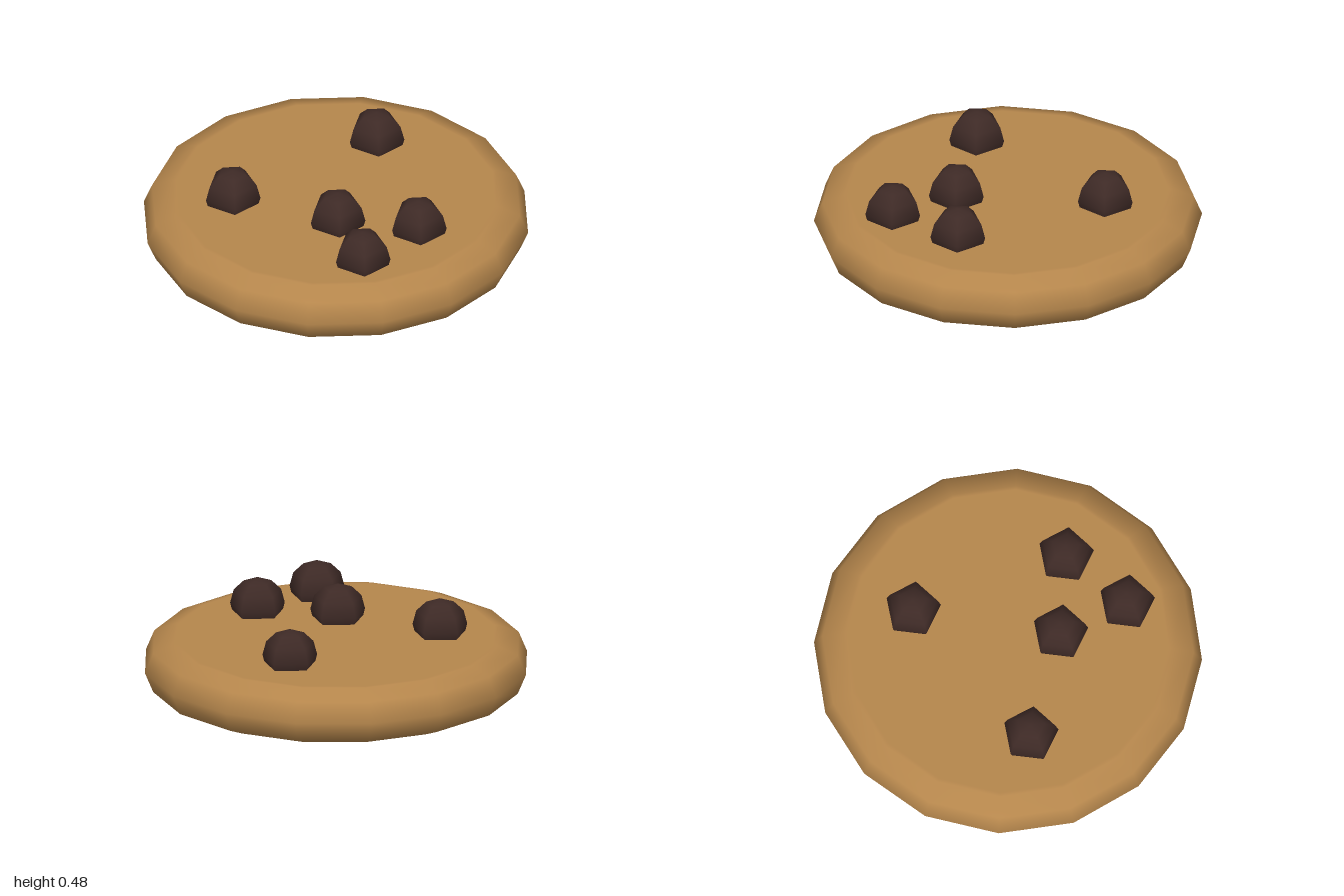
import * as THREE from 'three';

const TUBE = 0.148;          // half the thickness, also the chip radius
const CORE = 1 - TUBE;       // radius of the flat top and bottom

export function createModel() {
  const model = new THREE.Group();
  const doughMaterial = new THREE.MeshStandardMaterial({ color: 0xb5864c });
  const chipMaterial = new THREE.MeshStandardMaterial({ color: 0x3e2a26 });

  // Dough: flat disc with a rounded, 16-sided rim
  const profile = [new THREE.Vector2(0, 0), new THREE.Vector2(CORE - 0.02, 0)];
  for (let i = -2; i <= 2; i++) {
    const a = (i * Math.PI) / 4;
    profile.push(new THREE.Vector2(CORE + TUBE * Math.cos(a), TUBE + TUBE * Math.sin(a)));
  }
  profile.push(new THREE.Vector2(CORE - 0.02, 2 * TUBE), new THREE.Vector2(0, 2 * TUBE));
  const dough = new THREE.Mesh(new THREE.LatheGeometry(profile, 16), doughMaterial);
  dough.name = 'cookieDough';
  model.add(dough);

  // Chips: five-sided balls sunk into the top, one corner towards the back
  const chips = new THREE.Group();
  chips.name = 'chocolateChips';
  const chipGeometry = new THREE.SphereGeometry(TUBE, 5, 6).rotateY(-Math.PI / 2);
  const spots = [[-0.065, -0.512], [0.54, 0.073], [0.145, 0.228], [-0.425, 0.328], [0.44, 0.468]];
  for (const [x, z] of spots) {
    const chip = new THREE.Mesh(chipGeometry, chipMaterial);
    chip.name = 'chocolateChip';
    chip.position.set(x, 0.332, z);
    chips.add(chip);
  }
  model.add(chips);
  return model;
}
